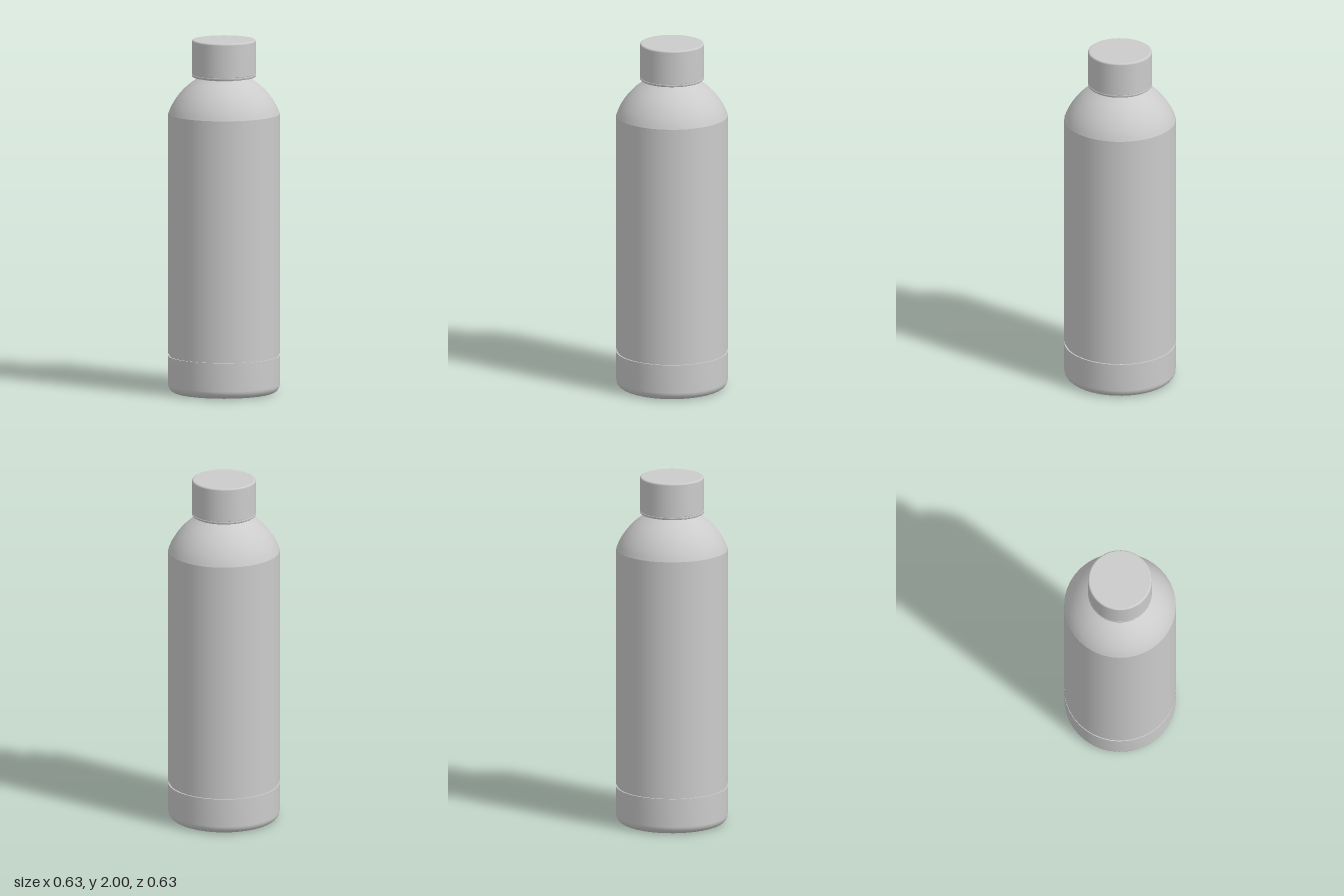
import * as THREE from 'three';

const material = new THREE.MeshStandardMaterial({ color: 0xcccccc, side: THREE.DoubleSide });
const SIDES = 40;

// Each profile is a list of [radius, height], bottom to top; separate profiles meet in a sharp edge.
function turned(name, profiles) {
  const group = new THREE.Group();
  group.name = name;
  profiles.forEach((profile, i) => {
    const points = profile.map(([r, y]) => new THREE.Vector2(r, y));
    const mesh = new THREE.Mesh(new THREE.LatheGeometry(points, SIDES), material);
    mesh.name = `${name}Surface${i + 1}`;
    group.add(mesh);
  });
  return group;
}

// Quarter-round points about a centre, from angle a to b in degrees
function arc(cx, cy, r, a, b, steps = 6) {
  return Array.from({ length: steps + 1 }, (_, i) => {
    const t = THREE.MathUtils.degToRad(a + ((b - a) * i) / steps);
    return [cx + r * Math.cos(t), cy + r * Math.sin(t)];
  });
}

export function createModel() {
  const model = new THREE.Group();
  model.name = 'bottle';
  const R = 0.314, C = 0.18;

  // Base cup with a rounded lower edge
  model.add(turned('base', [
    [[0, 0], [R - 0.045, 0]],
    [...arc(R - 0.045, 0.045, 0.045, -90, 0), [R, 0.207]],
  ]));

  // Narrow groove between base and body
  model.add(turned('groove', [
    [[R, 0.207], [R - 0.008, 0.207]],
    [[R - 0.008, 0.207], [R - 0.008, 0.221]],
    [[R - 0.008, 0.221], [R, 0.221]],
  ]));

  // Straight body wall
  model.add(turned('body', [[[R, 0.221], [R, 1.58]]]));

  // Domed shoulder
  const shoulder = new THREE.SplineCurve([
    [R, 1.58], [0.294, 1.627], [0.257, 1.684], [0.207, 1.737], [0.145, 1.783],
  ].map(([r, y]) => new THREE.Vector2(r, y)));
  model.add(turned('shoulder', [shoulder.getPoints(12).map((p) => [p.x, p.y])]));

  // Neck running up into the cap
  model.add(turned('neck', [[[0.145, 1.783], [0.145, 1.81]]]));

  // Screw cap with a fine seam above its lower rim
  model.add(turned('cap', [
    [[0.14, 1.79], [C - 0.004, 1.79]],
    [[C - 0.004, 1.79], [C, 1.794], [C, 1.802]],
    [[C, 1.802], [C - 0.005, 1.804], [C, 1.807]],
    [[C, 1.807], [C, 1.99], ...arc(C - 0.01, 1.99, 0.01, 0, 90, 4).slice(1)],
    [[C - 0.01, 2], [0, 2]],
  ]));

  return model;
}
